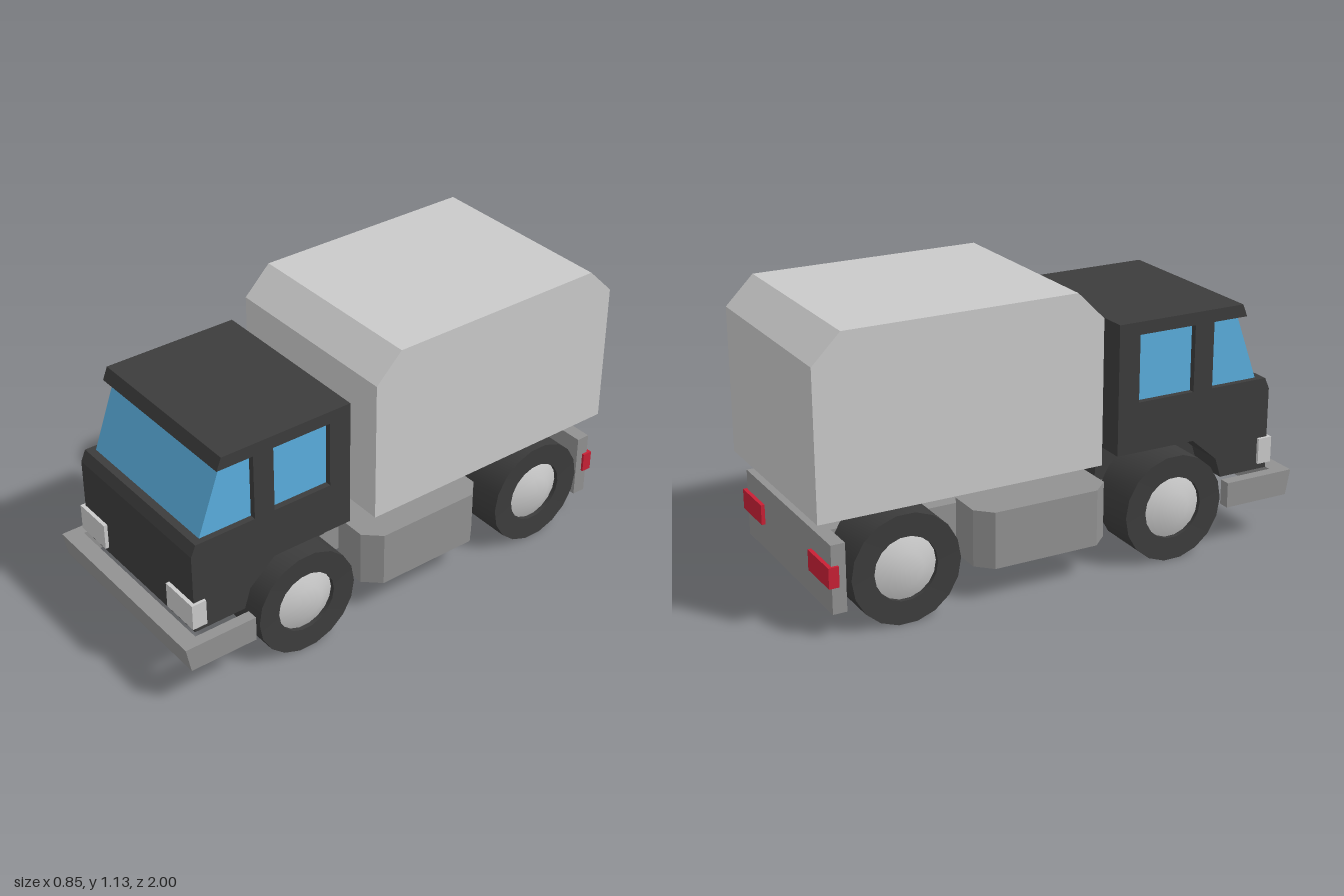
import * as THREE from 'three';
import { toCreasedNormals } from 'three/addons/utils/BufferGeometryUtils.js';

const material = (name, color) => {
  const m = new THREE.MeshStandardMaterial({ color });
  m.name = name;
  return m;
};

const makeShape = (points) => new THREE.Shape(points.map(([a, b]) => new THREE.Vector2(a, b)));

// Side profile of [z, y] points, extruded across x and centred
function sideProfile(points, width) {
  return new THREE.ExtrudeGeometry(makeShape(points), { depth: width, bevelEnabled: false })
    .translate(0, 0, -width / 2)
    .rotateY(-Math.PI / 2);
}

// Plan outline of [x, z] points, extruded between two heights
function planProfile(points, bottom, top) {
  return new THREE.ExtrudeGeometry(makeShape(points), { depth: top - bottom, bevelEnabled: false })
    .rotateX(Math.PI / 2)
    .translate(0, top, 0);
}

// Box given by its limits on each axis
function block(x0, x1, y0, y1, z0, z1) {
  return new THREE.BoxGeometry(x1 - x0, y1 - y0, z1 - z0)
    .translate((x0 + x1) / 2, (y0 + y1) / 2, (z0 + z1) / 2);
}

// Profile of [radius, x] points turned around the x axis
function turned(points) {
  const lathe = new THREE.LatheGeometry(points.map(([r, x]) => new THREE.Vector2(r, x)), 18);
  return toCreasedNormals(lathe.rotateZ(-Math.PI / 2), 0.42);
}

export function createModel() {
  const model = new THREE.Group();
  model.name = 'truck';
  const dark = material('dark paint', 0x3c3c3c);
  const light = material('light grey', 0xcacaca);
  const grey = material('chassis grey', 0x919191);
  const glass = material('blue glass', 0x5aaede);
  const red = material('red lamp', 0xc82035);

  const add = (name, geometry, mat, parent = model) => {
    const mesh = new THREE.Mesh(geometry, mat);
    mesh.name = name;
    parent.add(mesh);
    return mesh;
  };

  // Cargo box with chamfered front and back top edges
  add('cargoBox', sideProfile([
    [0.14, 0.45], [0.14, 1.02], [0.03, 1.13], [-0.89, 1.13], [-1, 1.02], [-1, 0.45],
  ], 0.8), light);

  // Cab: lower body with wheel arch, glasshouse, pillars and roof
  const cab = new THREE.Group();
  cab.name = 'cab';
  model.add(cab);
  add('cabBody', sideProfile([
    [0.92, 0.28], [0.92, 0.61], [0.9, 0.655], [0.23, 0.655],
    [0.23, 0.455], [0.57, 0.455], [0.68, 0.36], [0.705, 0.28],
  ], 0.73), dark, cab);
  add('cabFloor', block(-0.205, 0.205, 0.3, 0.456, 0.23, 0.7), dark, cab);
  add('windows', sideProfile([[0.87, 0.65], [0.77, 0.925], [0.25, 0.925], [0.25, 0.65]], 0.68), glass, cab);
  add('doorPillar', block(-0.365, 0.365, 0.655, 0.92, 0.565, 0.65), dark, cab);
  add('rearPillar', block(-0.365, 0.365, 0.655, 0.92, 0.23, 0.32), dark, cab);
  add('roof', sideProfile([[0.23, 0.92], [0.8, 0.92], [0.78, 0.97], [0.23, 0.97]], 0.73), dark, cab);

  // Chassis and rear plate
  add('chassis', block(-0.18, 0.18, 0.175, 0.32, -0.91, 0.75), grey);
  add('rearPlate', block(-0.4, 0.4, 0.1, 0.365, -0.955, -0.9), grey);

  // Wraparound front bumper, its front face leaning back at the bottom
  const bumper = planProfile([
    [-0.425, 0.7], [-0.38, 0.7], [-0.38, 0.93], [0.38, 0.93],
    [0.38, 0.7], [0.425, 0.7], [0.425, 1], [-0.425, 1],
  ], 0.173, 0.275);
  const p = bumper.attributes.position;
  for (let i = 0; i < p.count; i++) {
    if (p.getZ(i) > 0.99 && p.getY(i) < 0.2) p.setZ(i, 0.98);
  }
  bumper.computeVertexNormals();
  add('frontBumper', bumper, grey);

  // Wheel profiles
  const tyre = turned([[0, 0], [0.215, 0], [0.215, 0.205], [0.125, 0.2], [0.125, 0.18]]);
  const hub = turned([[0.125, 0.182], [0.065, 0.208], [0, 0.208]]);

  for (const side of [1, -1]) {
    const label = side > 0 ? 'left' : 'right';
    const across = (a, b) => (side > 0 ? [a, b] : [-b, -a]);

    // Side tanks with cut corners
    add(label + 'SideTank', planProfile([
      [0.225, 0.175], [0.36, 0.175], [0.42, 0.11],
      [0.42, -0.32], [0.36, -0.38], [0.225, -0.38],
    ].map(([x, z]) => [x * side, z]), 0.14, 0.363), grey);

    // Lamps
    add(label + 'Headlight', block(...across(0.21, 0.377), 0.305, 0.41, 0.875, 0.935), light);
    add(label + 'TailLight', block(...across(0.225, 0.41), 0.205, 0.285, -0.97, -0.93), red);

    // Wheels
    for (const [end, z] of [['Front', 0.46], ['Rear', -0.67]]) {
      const wheel = new THREE.Group();
      wheel.name = label + end + 'Wheel';
      wheel.position.set(side * 0.205, 0.215, z);
      if (side < 0) wheel.rotation.y = Math.PI;
      add('tyre', tyre, dark, wheel);
      add('hub', hub, light, wheel);
      model.add(wheel);
    }
  }
  return model;
}
